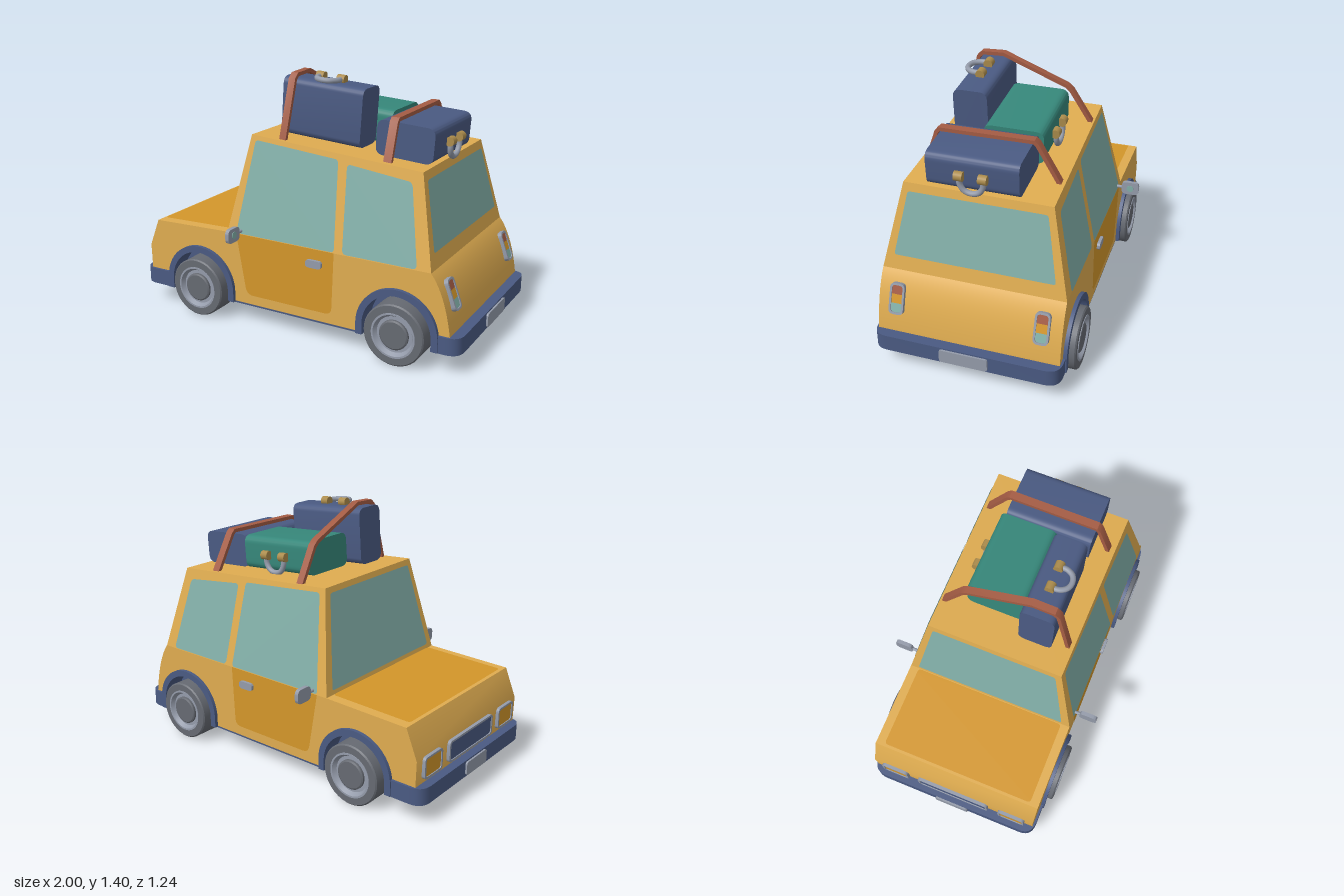
import * as THREE from 'three';
import { toCreasedNormals } from 'three/addons/utils/BufferGeometryUtils.js';

const mat = (name, color) => new THREE.MeshStandardMaterial({ name, color, side: THREE.DoubleSide });
const M = {
  body: mat('body yellow', 0xdfac50), panel: mat('panel amber', 0xd3962a),
  glass: mat('glass teal', 0x82afa8), navy: mat('navy', 0x4a5a82),
  green: mat('case green', 0x36877a), strap: mat('strap brown', 0xa45c44),
  chrome: mat('chrome grey', 0x949baa), tyre: mat('tyre grey', 0x666a72),
  brass: mat('brass', 0xac8c4c),
};

function add(parent, name, geo, material, x = 0, y = 0, z = 0) {
  const m = new THREE.Mesh(geo, material);
  m.name = name;
  m.position.set(x, y, z);
  parent.add(m);
  return m;
}

// Polygon with rounded corners; r is one radius or one per corner
function rounded(pts, r) {
  const P = pts.map(p => new THREE.Vector2(...p)), n = P.length, s = new THREE.Shape();
  P.forEach((p, i) => {
    const rad = Array.isArray(r) ? r[i] : r;
    const toward = q => p.clone().add(q.clone().sub(p).setLength(rad));
    const a = rad ? toward(P[(i + n - 1) % n]) : p, b = rad ? toward(P[(i + 1) % n]) : p;
    if (i) s.lineTo(a.x, a.y); else s.moveTo(a.x, a.y);
    if (rad) s.quadraticCurveTo(p.x, p.y, b.x, b.y);
  });
  s.closePath();
  return s;
}
const rect = (w, h, r) => rounded([[-w / 2, -h / 2], [w / 2, -h / 2], [w / 2, h / 2], [-w / 2, h / 2]], r);

// Extrusion centred on z
function slab(shape, depth, curveSegments = 10) {
  const g = new THREE.ExtrudeGeometry(shape, { depth, bevelEnabled: false, curveSegments });
  return toCreasedNormals(g.translate(0, 0, -depth / 2), 0.6);
}

// Thin painted face: shape points are carried onto a surface by map(u, v)
function painted(shape, map) {
  const g = new THREE.ShapeGeometry(shape, 6), p = g.attributes.position;
  for (let i = 0; i < p.count; i++) p.setXYZ(i, ...map(p.getX(i), p.getY(i)));
  g.computeVertexNormals();
  return g;
}

const BELT = 0.52, HALF = 0.49, AXLES = [-0.58, 0.645], ARCH_Y = 0.175;
const sideZ = y => HALF - Math.max(0, y - BELT) * 0.215;
const frontX = y => -0.39 + (y - BELT) * 0.187;
const rearX = y => 0.82 - (y - BELT) * 0.215;

function buildBody(car) {
  // Lower body with wheel arch cut-outs
  const s = new THREE.Shape();
  s.moveTo(-0.94, 0.12);
  for (const cx of AXLES) {
    s.lineTo(cx - 0.21, 0.12);
    s.lineTo(cx - 0.21, ARCH_Y);
    s.absarc(cx, ARCH_Y, 0.21, Math.PI, 0, true);
    s.lineTo(cx + 0.21, 0.12);
  }
  s.lineTo(0.93, 0.12);
  s.lineTo(0.93, 0.2);
  s.quadraticCurveTo(0.9, 0.42, 0.82, BELT);
  s.lineTo(-0.39, BELT);
  s.lineTo(-0.88, 0.505);
  s.lineTo(-0.945, 0.345);
  s.closePath();
  add(car, 'lowerBody', slab(s, HALF * 2, 24), M.body);

  // Tapered cabin
  const cabin = new THREE.BoxGeometry(1, 1, 1), p = cabin.attributes.position;
  for (let i = 0; i < p.count; i++) {
    const back = p.getX(i) > 0;
    const y = p.getY(i) < 0 ? BELT : back ? 0.988 : 1.055;
    p.setXYZ(i, back ? rearX(y) : frontX(y), y, Math.sign(p.getZ(i)) * sideZ(y));
  }
  cabin.computeVertexNormals();
  add(car, 'cabin', cabin, M.body);

  // Windows, doors and bonnet panel
  const front = rounded([[-0.33, 0.525], [0.28, 0.525], [0.25, 0.99], [-0.26, 1.03]], 0.02);
  const rear = rounded([[0.328, 0.525], [0.745, 0.525], [0.67, 0.935], [0.303, 0.975]], 0.025);
  const door = rounded([[-0.27, 0.175], [0.265, 0.175], [0.28, 0.522], [-0.33, 0.522]], [0.04, 0.04, 0, 0]);
  for (const side of [1, -1]) {
    const onSide = (x, y) => [x, y, side * (sideZ(y) + 0.004)];
    add(car, 'frontSideWindow', painted(front, onSide), M.glass);
    add(car, 'rearSideWindow', painted(rear, onSide), M.glass);
    add(car, 'doorPanel', painted(door, onSide), M.panel);
    add(car, 'doorHandle', slab(rect(0.095, 0.042, 0.02), 0.025), M.chrome, 0.165, 0.443, side * 0.498);
  }
  const screen = (y0, y1) => rounded([[0.045 - sideZ(y0), y0], [sideZ(y0) - 0.045, y0],
    [sideZ(y1) - 0.035, y1], [0.035 - sideZ(y1), y1]], 0.015);
  add(car, 'windscreen', painted(screen(0.545, 1.025), (z, y) => [frontX(y) - 0.004, y, z]), M.glass);
  add(car, 'rearWindow', painted(screen(0.6, 0.945), (z, y) => [rearX(y) + 0.004, y, z]), M.glass);
  const bonnet = rounded([[-0.865, -0.44], [-0.395, -0.44], [-0.395, 0.44], [-0.865, 0.44]], 0.02);
  add(car, 'bonnetPanel', painted(bonnet, (x, z) => [x, 0.5365 + x * 0.0306, z]), M.panel);

  // Underside and bumpers
  add(car, 'floor', new THREE.BoxGeometry(1.86, 0.02, 0.76), M.navy, 0, 0.12, 0);
  add(car, 'floorMiddle', new THREE.BoxGeometry(0.8, 0.02, 0.976), M.navy, 0.0325, 0.119, 0);
  for (const [x0, x1] of [[-0.8, -0.99], [0.865, 0.985]]) {
    const shape = rounded([[x0, -0.503], [x1, -0.503], [x1, 0.503], [x0, 0.503]], [0, 0.08, 0.08, 0]);
    add(car, 'bumper', slab(shape, 0.092).rotateX(Math.PI / 2), M.navy, 0, 0.159, 0);
  }
  for (const [x, w] of [[-0.991, 0.2], [0.986, 0.26]])
    add(car, 'numberPlate', slab(rect(w, 0.075, 0.015), 0.018).rotateY(Math.PI / 2), M.chrome, x, 0.16, 0);
}

// Chrome-rimmed lamp or grille facing +z
function framed(name, w, h, bands, r) {
  const g = new THREE.Group(), t = 0.011;
  g.name = name;
  const rim = rect(w, h, r);
  rim.holes.push(rect(w - 2 * t, h - 2 * t, r * 0.7));
  add(g, 'rim', slab(rim, 0.03), M.chrome);
  const bh = (h - 2 * t) / bands.length;
  bands.forEach((m, i) => {
    const last = bands.length - 1, c = r * 0.6, lo = i === last ? c : 0, hi = i ? 0 : c;
    const x = w / 2 - t, y = bh / 2;
    const shape = rounded([[-x, -y], [x, -y], [x, y], [-x, y]], [lo, lo, hi, hi]);
    add(g, 'face', slab(shape, 0.02), m, 0, h / 2 - t - bh * (i + 0.5), 0);
  });
  return g;
}

function buildLamps(car) {
  const place = (g, x, y, z, turn, tilt) => {
    const holder = new THREE.Group();
    holder.name = g.name + 'Mount';
    holder.position.set(x, y, z);
    holder.rotation.z = tilt;
    g.rotation.y = turn;
    holder.add(g);
    car.add(holder);
  };
  place(framed('grille', 0.43, 0.12, [M.navy], 0.025), -0.947, 0.288, 0, -Math.PI / 2, 0);
  for (const side of [1, -1]) {
    place(framed('headlight', 0.16, 0.12, [M.panel], 0.025), -0.947, 0.288, side * 0.36, -Math.PI / 2, 0);
    place(framed('tailLight', 0.08, 0.168, [M.strap, M.panel, M.glass], 0.028), 0.892, 0.39, side * 0.387, Math.PI / 2, 0.35);
    // Door mirror
    add(car, 'mirrorStem', new THREE.CylinderGeometry(0.009, 0.009, 0.07, 10).rotateX(Math.PI / 2), M.chrome, -0.3, 0.54, side * 0.5);
    add(car, 'mirror', slab(rect(0.1, 0.078, 0.028), 0.022).rotateY(Math.PI / 2), M.chrome, -0.3, 0.541, side * 0.568);
    add(car, 'mirrorGlass', new THREE.CylinderGeometry(0.02, 0.02, 0.004, 20).rotateZ(Math.PI / 2), M.glass, -0.288, 0.541, side * 0.568);
  }
}

function buildWheels(car) {
  const lathe = pts => toCreasedNormals(new THREE.LatheGeometry(
    pts.map(q => new THREE.Vector2(...q)), 40).rotateX(Math.PI / 2), 0.5);
  const archShape = r => {
    const s = new THREE.Shape();
    s.moveTo(r, -0.06);
    s.lineTo(r, 0);
    s.absarc(0, 0, r, 0, Math.PI, false);
    s.lineTo(-r, -0.06);
    return s;
  };
  const flare = archShape(0.228);
  flare.lineTo(-0.192, -0.06);
  flare.lineTo(-0.192, 0);
  flare.absarc(0, 0, 0.192, Math.PI, 0, true);
  flare.lineTo(0.192, -0.06);
  for (const x of AXLES) {
    add(car, 'wheelWell', slab(archShape(0.212), 0.8, 24), M.navy, x, ARCH_Y, 0);
    for (const side of [1, -1]) {
      add(car, 'archFlare', slab(flare, 0.13, 24), M.navy, x, ARCH_Y, side * 0.445);
      const w = new THREE.Group();
      w.name = 'wheel';
      w.position.set(x, 0.167, side * 0.42);
      w.rotation.y = side > 0 ? 0 : Math.PI;
      add(w, 'tyre', lathe([[0, -0.02], [0.167, -0.02], [0.167, 0.112], [0.16, 0.119], [0.122, 0.119], [0.122, 0.08]]), M.tyre);
      add(w, 'rim', lathe([[0.122, 0.08], [0.122, 0.122], [0.112, 0.122], [0.098, 0.1], [0.07, 0.1]]), M.chrome);
      add(w, 'hubCap', lathe([[0.08, 0.09], [0.08, 0.112], [0.072, 0.117], [0, 0.117]]), M.tyre);
      car.add(w);
    }
  }
}

// Case in a local frame: handle on +z and hanging towards -y
function suitcase(name, width, thick, deep, material) {
  const g = new THREE.Group();
  g.name = name;
  add(g, 'shell', slab(rect(deep, thick, 0.045), width).rotateY(-Math.PI / 2), material);
  const h = new THREE.Group();
  h.name = 'handle';
  h.position.z = deep / 2 + 0.014;
  for (const s of [1, -1]) {
    add(h, 'handleKnob', new THREE.CylinderGeometry(0.025, 0.025, 0.045, 16).rotateZ(Math.PI / 2), M.brass, s * 0.062, 0, 0);
  }
  const path = new THREE.CatmullRomCurve3([[-0.062, 0], [-0.06, -0.045], [-0.038, -0.08], [0, -0.092],
    [0.038, -0.08], [0.06, -0.045], [0.062, 0]].map(([x, y]) => new THREE.Vector3(x, y, 0)));
  add(h, 'handleGrip', new THREE.TubeGeometry(path, 24, 0.015, 10), M.chrome);
  g.add(h);
  return g;
}

// Flat strap following outer points (z, y), with mitred corners
function strap(pts, width, t) {
  const P = pts.map(q => new THREE.Vector2(...q));
  const normal = i => { const d = P[i + 1].clone().sub(P[i]).normalize(); return new THREE.Vector2(-d.y, d.x); };
  const inner = P.map((p, i) => {
    const a = normal(Math.max(0, i - 1)), b = normal(Math.min(P.length - 2, i));
    const m = a.clone().add(b).normalize();
    return p.clone().addScaledVector(m, t / m.dot(a));
  });
  return slab(new THREE.Shape([...P, ...inner.reverse()]), width).rotateY(-Math.PI / 2);
}

function buildLuggage(car) {
  const place = (c, x, y, z, rx, ry) => {
    const tilt = new THREE.Group();
    tilt.name = c.name + 'Tilt';
    tilt.position.set(x, y, z);
    tilt.rotation.z = -0.068;
    c.rotation.set(rx, ry, 0);
    tilt.add(c);
    car.add(tilt);
  };
  const tall = suitcase('tallCase', 0.475, 0.185, 0.312, M.navy);
  place(tall, 0.078, 1.195, 0.178, -Math.PI / 2, 0);
  tall.children[1].rotation.z = Math.PI;
  tall.rotation.z = Math.PI;
  place(suitcase('greenCase', 0.465, 0.185, 0.32, M.green), 0.163, 1.122, -0.08, 0, Math.PI);
  place(suitcase('rearCase', 0.48, 0.185, 0.32, M.navy), 0.56, 1.093, 0.025, 0, Math.PI / 2);
  // The grip of the tall case lies towards the near side
  tall.rotation.z = 0;
  tall.children[1].rotation.z = 0;

  const front = strap([[0.36, 1.03], [0.283, 1.36], [0.255, 1.388], [0.13, 1.394], [-0.225, 1.25], [-0.255, 1.225], [-0.375, 1.03]], 0.04, 0.02);
  const f = add(car, 'frontStrap', front, M.strap, -0.172, 0, 0);
  f.geometry.applyMatrix4(new THREE.Matrix4().makeShear(0, 0, 0.06, 0, 0, 0));
  add(car, 'rearStrap', strap([[0.362, 0.99], [0.29, 1.195], [0.27, 1.215], [-0.23, 1.22], [-0.252, 1.2], [-0.375, 0.99]], 0.045, 0.02),
    M.strap, 0.508, 0, 0);
}

export function createModel() {
  const car = new THREE.Group();
  car.name = 'car';
  buildBody(car);
  buildLamps(car);
  buildWheels(car);
  buildLuggage(car);
  return car;
}
